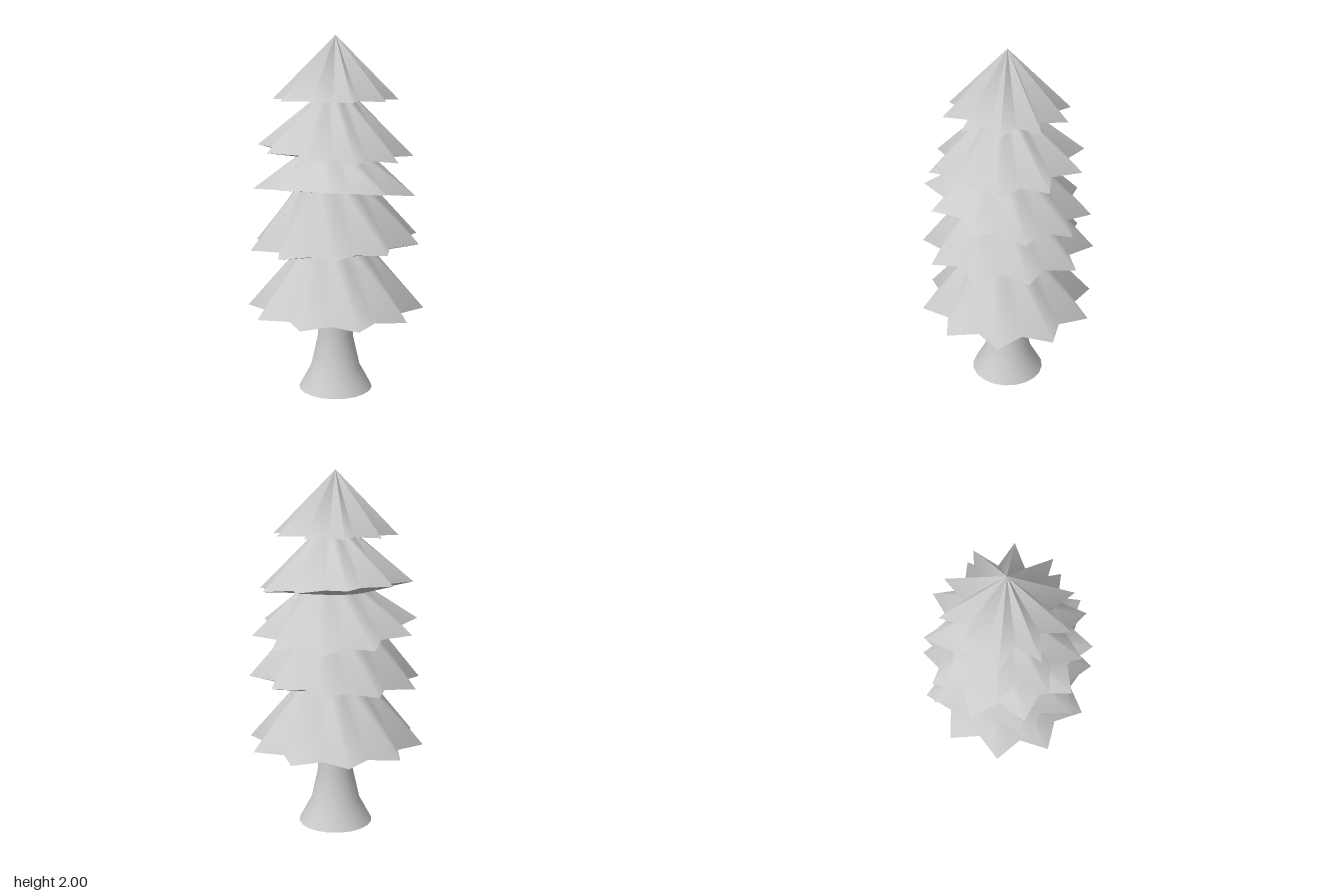
import * as THREE from 'three';

const SIDES = 20; // ten points and ten notches per tier
const material = new THREE.MeshStandardMaterial({ color: 0xcccccc });

// Closed loop of points; fn gives radius, height and twist for each index
function loop(fn) {
  return Array.from({ length: SIDES }, (_, i) => fn(i, (i / SIDES) * Math.PI * 2));
}

const circle = (r, y) => loop((i, a) => new THREE.Vector3(r * Math.sin(a), y, r * Math.cos(a)));

// Star-shaped rim, tilted along x and z
function starRim({ tip, notch, y, tiltX = 0, tiltZ = 0, odd = 0, twist = 0 }) {
  return loop((i, a) => {
    const r = i % 2 === odd ? tip : notch;
    const x = r * Math.sin(a + twist), z = r * Math.cos(a + twist);
    return new THREE.Vector3(x, y + tiltX * x + tiltZ * z, z);
  });
}

// Smooth band of faces between two loops
function band(upper, lower, name) {
  const index = [];
  for (let i = 0; i < SIDES; i++) {
    const j = (i + 1) % SIDES;
    index.push(SIDES + i, SIDES + j, i, SIDES + j, j, i);
  }
  const geometry = new THREE.BufferGeometry().setFromPoints([...upper, ...lower]);
  geometry.setIndex(index);
  geometry.computeVertexNormals();
  const mesh = new THREE.Mesh(geometry, material);
  mesh.name = name;
  return mesh;
}

export function createModel() {
  const tree = new THREE.Group();
  tree.name = 'pineTree';

  // Foliage tiers from top to bottom: top ring, then star rim
  const tiers = [
    { topR: 0.001, topY: 2, tip: 0.345, notch: 0.22, y: 1.655 },
    { topR: 0.12, topY: 1.655, tip: 0.43, notch: 0.31, y: 1.375, tiltZ: -0.085 },
    { topR: 0.2, topY: 1.35, tip: 0.465, notch: 0.355, y: 1.14, tiltX: -0.145, tiltZ: 0.06, odd: 1 },
    { topR: 0.215, topY: 1.17, tip: 0.485, notch: 0.37, y: 0.857, tiltX: 0.03, tiltZ: 0.035, odd: 1, twist: 0.03 },
    { topR: 0.21, topY: 0.815, tip: 0.5, notch: 0.39, y: 0.48 },
  ];
  const trunkTop = { topR: 0.105, topY: 0.48 };

  tiers.forEach((tier, i) => {
    const next = tiers[i + 1] ?? trunkTop;
    const rim = starRim(tier);
    const group = new THREE.Group();
    group.name = `foliageTier${i + 1}`;
    group.add(
      band(circle(tier.topR, tier.topY), rim, 'branches'),
      band(rim, circle(next.topR, next.topY), 'underside'),
    );
    tree.add(group);
  });

  // Flared trunk
  const profile = [[0.21, 0], [0.14, 0.13], [0.1, 0.31], [0.105, 0.48]];
  const trunk = new THREE.Mesh(
    new THREE.LatheGeometry(profile.map(([r, y]) => new THREE.Vector2(r, y)), SIDES), material);
  trunk.name = 'trunk';

  // Flat bottom of the trunk
  const base = new THREE.Mesh(new THREE.CircleGeometry(0.21, SIDES).rotateX(Math.PI / 2), material);
  base.name = 'trunkBase';
  tree.add(trunk, base);

  return tree;
}
